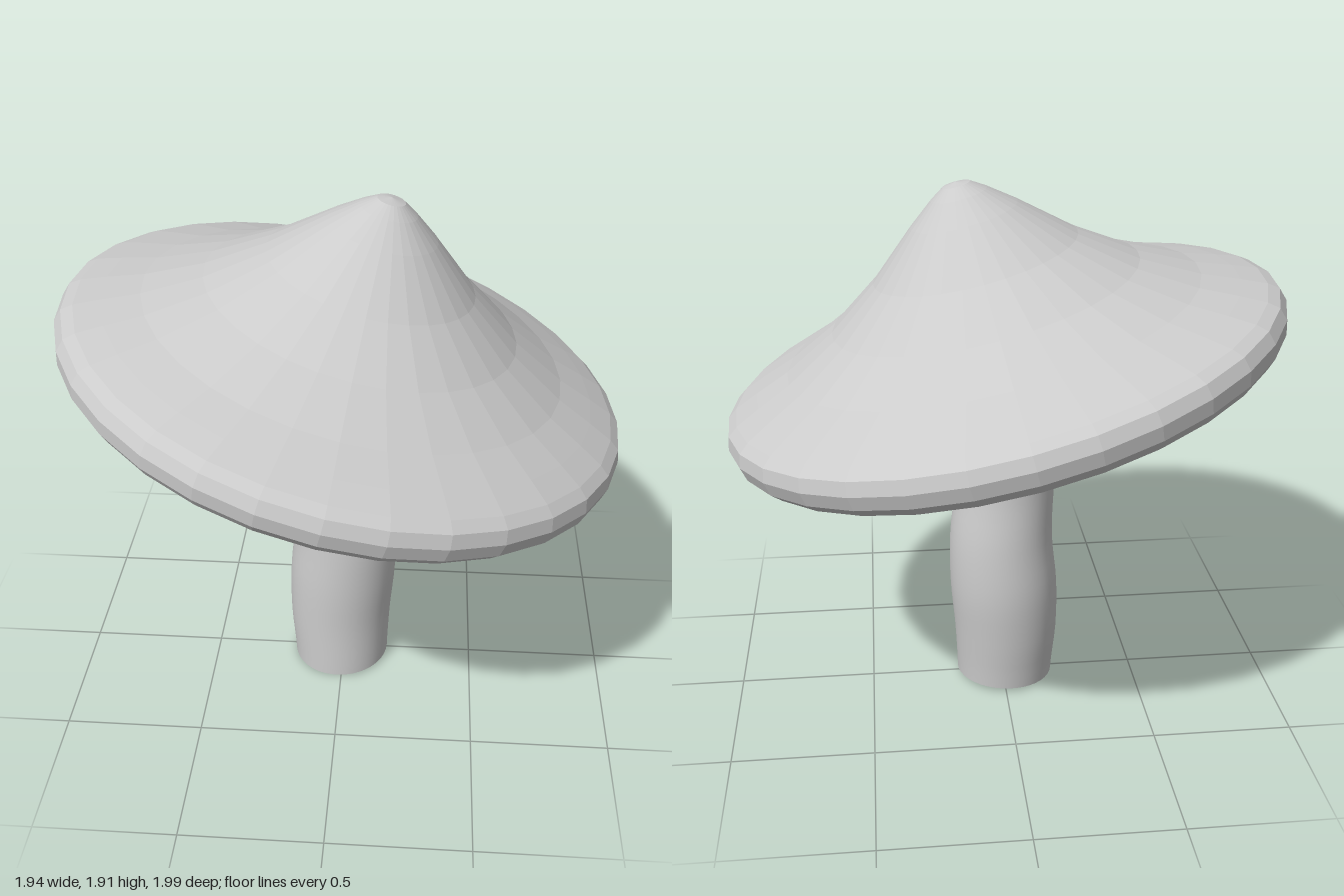
import * as THREE from 'three';
import { toCreasedNormals } from 'three/addons/utils/BufferGeometryUtils.js';

const curve = (pairs) => new THREE.SplineCurve(pairs.map(([a, b]) => new THREE.Vector2(a, b)));

// Cap: faceted lathe with a flat underside, rounded rim and peaked top
function createCap() {
  const profile = [
    [0, 0], [0.9, 0], [0.955, 0.015], [0.986, 0.05], [0.996, 0.1], [0.981, 0.145],
    [0.945, 0.17], [0.86, 0.204], [0.735, 0.25], [0.545, 0.346], [0.36, 0.474],
    [0.187, 0.625], [0.098, 0.695], [0.048, 0.728], [0, 0.737],
  ].map(([r, y]) => new THREE.Vector2(r, y));
  const cap = new THREE.Mesh(
    new THREE.LatheGeometry(profile, 32),
    new THREE.MeshStandardMaterial({ color: 0xcccccc, flatShading: true }),
  );
  cap.name = 'cap';
  cap.position.set(-0.023, 1.19, 0);
  cap.rotation.z = THREE.MathUtils.degToRad(-14);
  return cap;
}

// Stem: cylinder whose centre and radii wander with height
function createStem() {
  const height = 1.4;
  // (x, z) centre and (x, z) radius at even steps from the foot upward
  const centre = curve([[-0.009, 0.005], [-0.013, -0.007], [-0.005, -0.012], [0.004, -0.008],
    [-0.012, -0.002], [-0.028, 0], [-0.035, 0], [-0.035, 0]]);
  const radius = curve([[0.181, 0.18], [0.193, 0.187], [0.2, 0.193], [0.19, 0.182],
    [0.181, 0.162], [0.18, 0.16], [0.18, 0.16], [0.18, 0.16]]);

  const geometry = new THREE.CylinderGeometry(1, 1, height, 40, 28);
  geometry.translate(0, height / 2, 0);
  const p = geometry.attributes.position;
  for (let i = 0; i < p.count; i++) {
    const t = THREE.MathUtils.clamp(p.getY(i) / height, 0, 1);
    const c = centre.getPoint(t);
    const r = radius.getPoint(t);
    const x = c.x + p.getX(i) * r.x;
    const z = c.y + p.getZ(i) * r.y;
    // The foot is cut at a slight slant
    const slant = (0.011 + 0.04 * x - 0.03 * z) * Math.max(0, 1 - 3 * t);
    p.setXYZ(i, x, p.getY(i) + slant, z);
  }
  const stem = new THREE.Mesh(
    toCreasedNormals(geometry, Math.PI / 4),
    new THREE.MeshStandardMaterial({ color: 0xcccccc }),
  );
  stem.name = 'stem';
  return stem;
}

export function createModel() {
  const mushroom = new THREE.Group();
  mushroom.name = 'mushroom';
  mushroom.add(createStem(), createCap());
  return mushroom;
}
